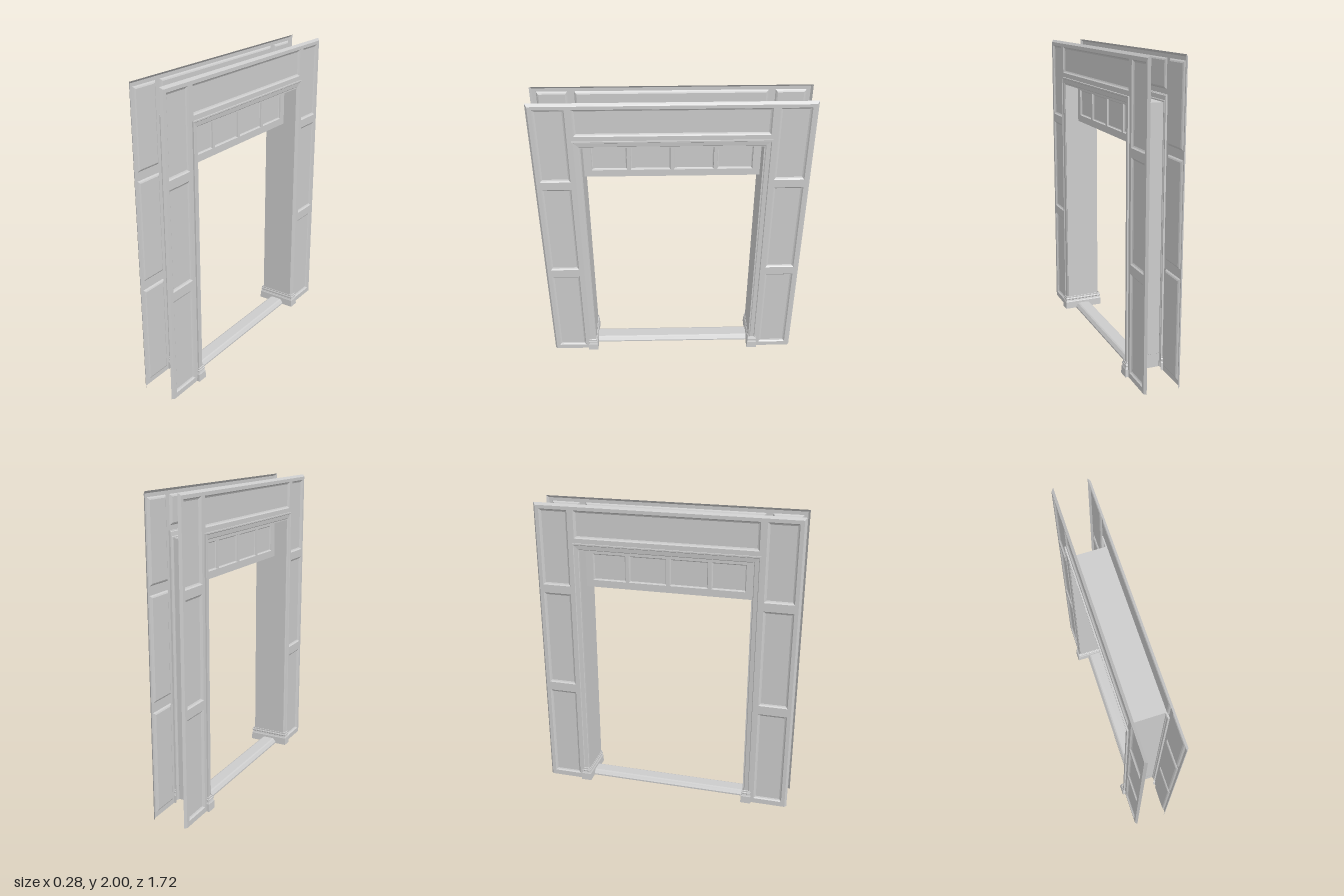
import * as THREE from 'three';

const material = new THREE.MeshStandardMaterial({ color: 0xcccccc, side: THREE.DoubleSide });

// Skin between rows of points; every row has the same count. Faceted normals.
function skin(rows, closed = false) {
  const pos = [];
  const n = rows[0].length;
  for (let i = 0; i < rows.length - 1; i++) {
    for (let j = 0; j < (closed ? n : n - 1); j++) {
      const k = (j + 1) % n;
      const a = rows[i][j], b = rows[i][k], c = rows[i + 1][k], d = rows[i + 1][j];
      pos.push(...a, ...b, ...c, ...a, ...c, ...d);
    }
  }
  const geometry = new THREE.BufferGeometry();
  geometry.setAttribute('position', new THREE.Float32BufferAttribute(pos, 3));
  geometry.computeVertexNormals();
  return geometry;
}

function add(parent, name, geometry) {
  const mesh = new THREE.Mesh(geometry, material);
  mesh.name = name;
  parent.add(mesh);
  return mesh;
}

// Counter-clockwise rectangle at depth d, shrunk by inset
const rectangle = ([u0, u1, y0, y1], inset, d) => [
  [u0 + inset, y0 + inset, d], [u1 - inset, y0 + inset, d],
  [u1 - inset, y1 - inset, d], [u0 + inset, y1 - inset, d],
];

// Moulded panel: nested rectangles following [inset, depth], then a flat field
function addPanel(parent, name, rect, profile) {
  const rows = profile.map(([inset, d]) => rectangle(rect, inset, d));
  add(parent, name + 'Moulding', skin(rows, true));
  const [inset, d] = profile[profile.length - 1];
  const field = new THREE.PlaneGeometry(rect[1] - rect[0] - 2 * inset, rect[3] - rect[2] - 2 * inset);
  field.translate((rect[0] + rect[1]) / 2, (rect[2] + rect[3]) / 2, d);
  add(parent, name + 'Field', field);
}

// Flat face with rectangular openings
function faceWithHoles(outline, rects, d) {
  const shape = new THREE.Shape(outline.map(([u, y]) => new THREE.Vector2(u, y)));
  for (const r of rects) {
    const points = rectangle(r, 0, 0).reverse().map(([u, y]) => new THREE.Vector2(u, y));
    shape.holes.push(new THREE.Path(points));
  }
  return new THREE.ShapeGeometry(shape).translate(0, 0, d);
}

// Mitred run up one side, across the head and down the other
const archRow = (halfWidth, height, d) => [
  [halfWidth, 0, d], [halfWidth, height, d], [-halfWidth, height, d], [-halfWidth, 0, d],
];

// One panelled wall face, with the surround's outer edge sloping back
function wallFace() {
  const group = new THREE.Group();
  const rects = [[-0.597, 0.597, 1.778, 1.968]];
  for (const [y0, y1] of [[0.03, 0.695], [0.745, 1.41], [1.455, 1.968]]) {
    rects.push([0.628, 0.828, y0, y1], [-0.828, -0.628, y0, y1]);
  }
  const outline = [
    [0.6, 0], [0.847, 0], [0.847, 1.985], [-0.847, 1.985],
    [-0.847, 0], [-0.6, 0], [-0.6, 1.752], [0.6, 1.752],
  ];
  add(group, 'wallFrame', faceWithHoles(outline, rects, 0.12));
  add(group, 'wallEdge', skin([archRow(0.86, 2, 0.105), archRow(0.847, 1.985, 0.12)]));
  const profile = [[0, 0.12], [0.005, 0.12], [0.012, 0.112], [0.02, 0.108], [0.027, 0.108]];
  for (const r of rects) addPanel(group, 'wallPanel', r, profile);
  return group;
}

// One side of the transom
function transomFace() {
  const group = new THREE.Group();
  const rects = [
    [-0.505, -0.283], [-0.261, -0.011], [0.011, 0.261], [0.283, 0.505],
  ].map(([a, b]) => [a, b, 1.487, 1.665]);
  const outline = [[-0.553, 1.44], [0.553, 1.44], [0.553, 1.703], [-0.553, 1.703]];
  add(group, 'transomFrame', faceWithHoles(outline, rects, 0.025));
  for (const r of rects) addPanel(group, 'transomPanel', r, [[0, 0.025], [0.003, 0.016], [0.008, 0.013]]);
  return group;
}

export function createModel() {
  const model = new THREE.Group();
  model.name = 'panelledDoorway';
  // Built facing local +z, then turned so the wall faces look along x
  const body = new THREE.Group();
  body.name = 'doorway';
  body.rotation.y = Math.PI / 2;
  model.add(body);

  for (const [i, side] of ['left', 'right'].entries()) {
    const wall = wallFace();
    wall.name = side + 'Wall';
    const transom = transomFace();
    transom.name = side + 'TransomFace';
    wall.rotation.y = transom.rotation.y = i * Math.PI;
    body.add(wall, transom);
  }

  // Casings and jamb lining in one mitred sweep: [distance from opening, depth]
  const casing = [
    [0.05, 0.108], [0.05, 0.13], [0.042, 0.13], [0.038, 0.125], [0.012, 0.122], [0.008, 0.118], [0, 0.118],
  ];
  const lining = [...casing, ...casing.map(([w, d]) => [w, -d]).reverse()];
  add(body, 'casingAndJambs', skin(lining.map(([w, d]) => archRow(0.555 + w, 1.703 + w, d))));

  // Transom edges
  const edge = d => rectangle([-0.553, 0.553, 1.44, 1.703], 0, d);
  add(body, 'transomEdge', skin([edge(-0.025), edge(0.025)], true));

  // Plinths wrapped round the casing feet: [height, projection]
  const plinth = [
    [0, 0.01], [0.05, 0.008], [0.056, 0.005], [0.066, 0.002], [0.07, 0.006],
    [0.078, 0.006], [0.082, 0.002], [0.092, 0.002], [0.095, -0.002],
  ];
  for (const s of [1, -1]) {
    const rows = plinth.map(([y, o]) => [
      [0.605 + o, 0.108], [0.605 + o, 0.13 + o], [0.555 - o, 0.13 + o],
      [0.555 - o, -0.13 - o], [0.605 + o, -0.13 - o], [0.605 + o, -0.108],
    ].map(([u, d]) => [s * u, y, d]));
    // wind the mirrored copy the other way
    add(body, s > 0 ? 'rightPlinth' : 'leftPlinth', skin(s > 0 ? rows : rows.reverse()));
  }

  // Threshold, hollow below
  const sill = [[0.06, 0], [0.06, 0.01], [0.045, 0.03], [0.035, 0.035]];
  const sillProfile = [...sill, ...sill.map(([d, y]) => [-d, y]).reverse()];
  add(body, 'threshold', skin(sillProfile.map(([d, y]) => [[-0.55, y, d], [0.55, y, d]])));

  return model;
}
